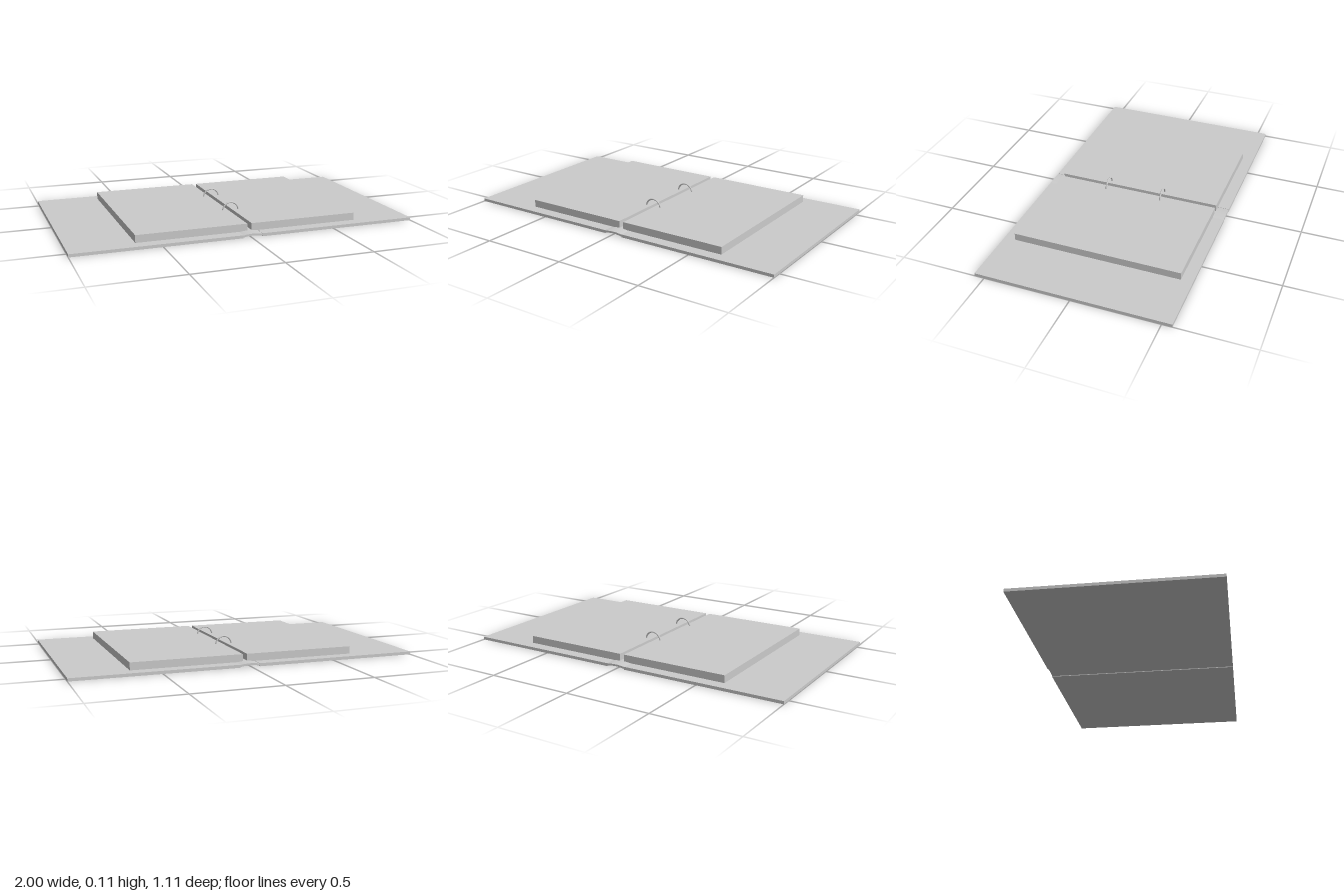
import * as THREE from 'three';

const material = new THREE.MeshStandardMaterial({ color: 0xcccccc, side: THREE.DoubleSide });

export function createModel() {
  const model = new THREE.Group();
  model.name = 'openRingBinder';

  const add = (name, geometry, x, y, z) => {
    const mesh = new THREE.Mesh(geometry, material);
    mesh.name = name;
    mesh.position.set(x, y, z);
    model.add(mesh);
    return mesh;
  };

  // Box given by its x and y limits, centred on z
  const slab = (name, x0, x1, y0, y1, depth) =>
    add(name, new THREE.BoxGeometry(x1 - x0, y1 - y0, depth), (x0 + x1) / 2, (y0 + y1) / 2, 0);

  const depth = 1.114;
  const coverTop = 0.017;

  // Cover boards, lying flat
  slab('rightCover', -1, -0.048, 0, coverTop, depth);
  slab('leftCover', 0.065, 1, 0, coverTop, depth);

  // Page blocks, with a narrow gap above the spine
  slab('rightPages', -0.635, 0, coverTop, 0.06, 0.98);
  slab('leftPages', 0.026, 0.662, coverTop, 0.06, 0.98);

  // Thin spine strip, gently arched between the covers
  const arch = new THREE.Shape();
  arch.moveTo(-0.048, 0.004);
  arch.quadraticCurveTo(0.0085, 0.016, 0.065, 0.004);
  arch.lineTo(0.065, 0.0155);
  arch.quadraticCurveTo(0.0085, 0.0265, -0.048, 0.0155);
  arch.closePath();
  const spine = new THREE.ExtrudeGeometry(arch, { depth, bevelEnabled: false, curveSegments: 12 });
  add('spine', spine, 0, 0, -depth / 2);

  // Half rings joining the two page blocks
  for (const z of [0.182, -0.161]) {
    add('bindingRing', new THREE.TorusGeometry(0.048, 0.0045, 10, 32, Math.PI), 0.017, 0.055, z);
  }

  return model;
}
